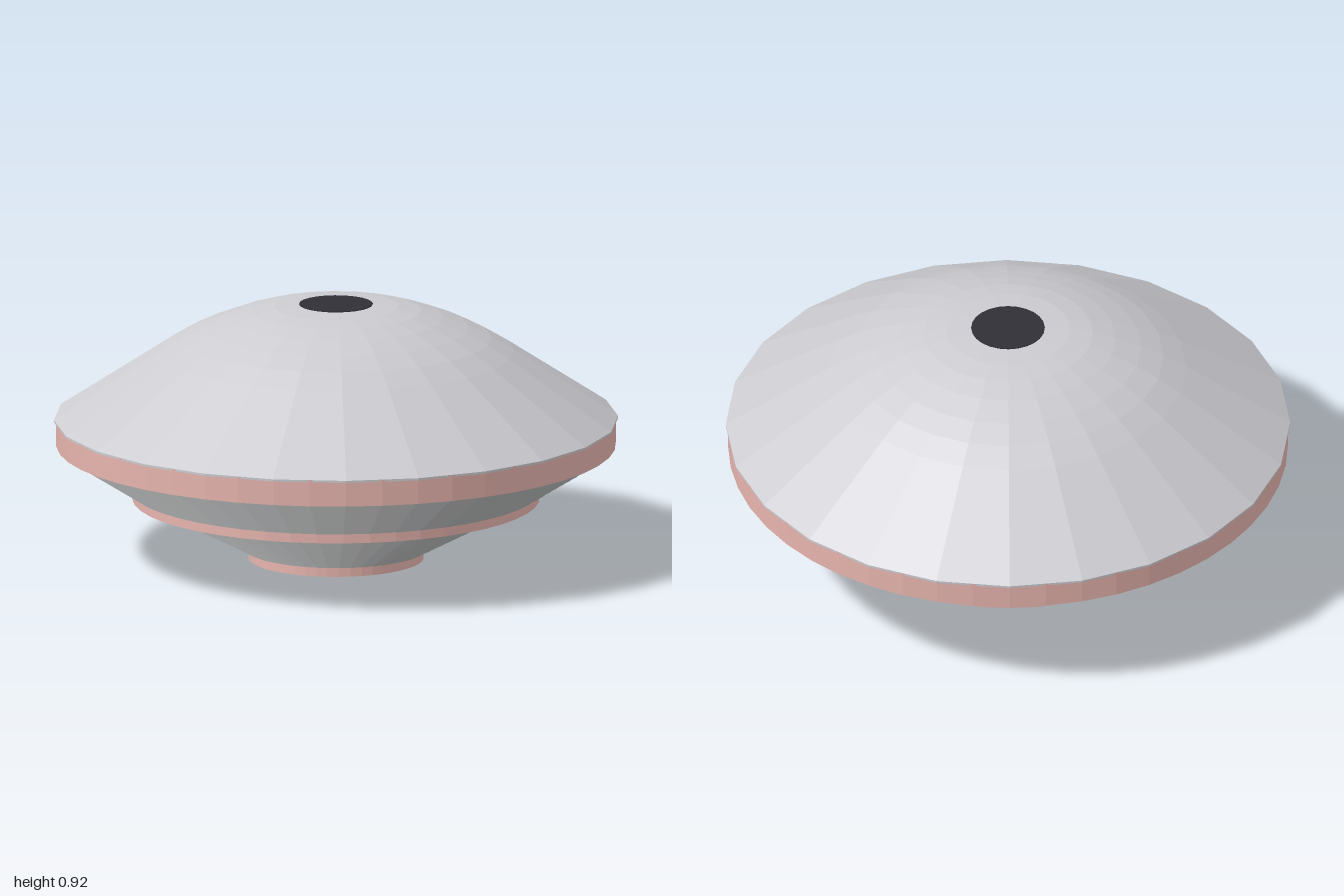
import * as THREE from 'three';

const DOME_SIDES = 24;
const DISC_SIDES = 48;

function material(name, color) {
  const m = new THREE.MeshStandardMaterial({ color, flatShading: true });
  m.name = name;
  return m;
}

export function createModel() {
  const model = new THREE.Group();
  model.name = 'saucer';

  const roofGrey = material('roofGrey', 0xcccbd0);
  const stepGrey = material('stepGrey', 0xa4a5a6);
  const trimPink = material('trimPink', 0xe6b4ad);
  const capDark = material('capDark', 0x302f37);

  // Flat disc with its own side colour and grey faces above and below
  function disc(name, radius, y0, y1, side, parent = model) {
    const geo = new THREE.CylinderGeometry(radius, radius, y1 - y0, DISC_SIDES);
    const mesh = new THREE.Mesh(geo, [side, stepGrey, stepGrey]);
    mesh.position.y = (y0 + y1) / 2;
    mesh.name = name;
    parent.add(mesh);
  }

  // Stack of thin discs widening upwards
  function steps(name, count, r0, r1, y0, y1) {
    const group = new THREE.Group();
    group.name = name;
    const h = (y1 - y0) / count;
    for (let i = 0; i < count; i++) {
      const r = r0 + ((r1 - r0) * i) / (count - 1);
      disc('step', r, y0 + i * h, y0 + (i + 1) * h, stepGrey, group);
    }
    model.add(group);
  }

  // Underside, from the foot up to the rim
  disc('foot', 0.31, 0, 0.035, trimPink);
  steps('lowerSteps', 11, 0.325, 0.63, 0.035, 0.215);
  disc('middleBand', 0.72, 0.215, 0.25, trimPink);
  steps('upperSteps', 10, 0.73, 0.955, 0.25, 0.41);
  disc('rimBand', 0.989, 0.41, 0.504, trimPink);

  // Domed roof: a thin lip whose corners overhang the rim band,
  // one long straight slope, then short bands to the crown
  const profile = [
    [0.97, 0.497], [0.997, 0.497], [0.997, 0.505],
    [0.63, 0.748], [0.55, 0.796], [0.47, 0.835], [0.38, 0.871],
    [0.3, 0.896], [0.22, 0.911], [0.13, 0.917], [0, 0.918],
  ].map(([r, y]) => new THREE.Vector2(r, y));
  const dome = new THREE.Mesh(new THREE.LatheGeometry(profile, DOME_SIDES), roofGrey);
  dome.name = 'dome';
  model.add(dome);

  // Dark crown cap
  const cap = new THREE.Mesh(new THREE.CylinderGeometry(0.13, 0.13, 0.008, DOME_SIDES), capDark);
  cap.name = 'crownCap';
  cap.position.y = 0.916;
  model.add(cap);

  return model;
}
